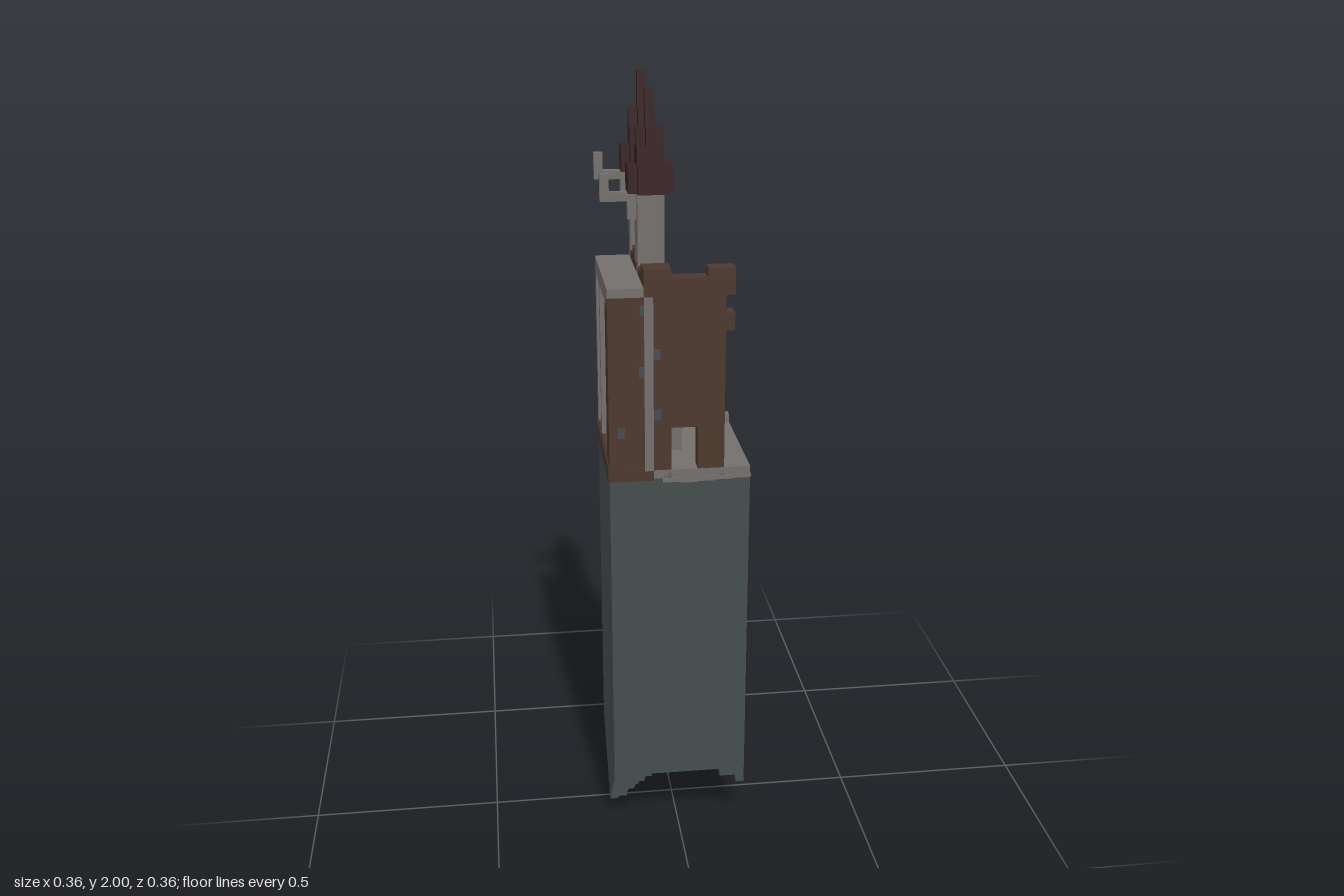
import * as THREE from 'three';

const V = 2 / 90; // edge of one building block

function material(name, color) {
  const m = new THREE.MeshStandardMaterial({ color });
  m.name = name;
  return m;
}

export function createModel() {
  const model = new THREE.Group();
  model.name = 'clifftopRuin';
  const rock = material('dark rock', 0x454d4d);
  const stone = material('grey stone', 0x746f6d);
  const brick = material('brown brick', 0x4c382d);
  const tile = material('dark red tile', 0x382325);
  const glass = material('blue glass', 0x5ab0cf);
  const cloth = material('green cloth', 0x2f7d20);

  // Box given by its limits in blocks
  const box = (name, mat, x0, x1, y0, y1, z0, z1, parent = model) => {
    const g = new THREE.BoxGeometry((x1 - x0) * V, (y1 - y0) * V, (z1 - z0) * V);
    g.translate(((x0 + x1) / 2) * V, ((y0 + y1) / 2) * V, ((z0 + z1) / 2) * V);
    const mesh = new THREE.Mesh(g, mat);
    mesh.name = name;
    parent.add(mesh);
    return mesh;
  };
  const P = 0.12; // thickness of applied plates

  // Rock pillar with a stepped underside hanging lowest on one side
  box('rockPillar', rock, -8, 8, 9, 47, -8, 8);
  const underside = new THREE.Group();
  underside.name = 'rockUnderside';
  model.add(underside);
  for (let x = -8; x < 8; x++) {
    for (let z = -8; z < 8; z++) {
      const cone = Math.hypot((x + 8) * 1.15, z + 0.5) - 0.4;
      const backCorner = 5 + 0.6 * Math.hypot(7 - x, z + 8);
      const frontCorner = 6 + 0.5 * Math.hypot(7 - x, 7 - z);
      const leftEdge = 6.6 + 0.4 * (x + 8);
      const rough = 8 + Math.round(Math.sin(x * 0.9) * Math.cos(z * 0.7));
      const low = Math.max(0, Math.round(Math.min(cone, backCorner, frontCorner, leftEdge, rough)));
      if (low < 9) box('rockStep', rock, x, x + 1, low, 9, z, z + 1, underside);
    }
  }

  // Courtyard paving with a ragged edge
  box('paving', stone, -8, 8, 47, 48, -8, 8);
  box('cornerStone', stone, 7, 8, 48, 49, -8, -7);
  for (let i = -8; i < 8; i += 2) {
    const drop = 46.4 + 0.4 * Math.abs(Math.sin(i * 1.7));
    box('pavingFringe', stone, 8, 8 + P, drop, 47, i, i + 2);
    if (i > -4) {
      box('pavingFringe', stone, i, i + 2, drop, 47, 8, 8 + P);
      box('pavingFringe', stone, i, i + 2, drop, 47, -8 - P, -8);
    }
  }

  // Front wall with doorway, battlements and side ledges
  box('frontWallLeft', brick, -4, -1, 47, 70, 6, 8);
  box('frontWallRight', brick, 2, 5, 47, 70, 6, 8);
  box('frontWallLintel', brick, -1, 2, 53, 70, 6, 8);
  box('battlement', brick, -4, -1, 70, 71, 5, 8);
  box('battlement', brick, 3, 6, 70, 71, 6, 8);
  box('wallLedge', brick, 5, 6, 68, 70, 6, 8);
  box('wallLedge', brick, 5, 6, 64, 66, 6, 8);
  for (const x of [-1.5, 1.5, 4]) box('wallRib', brick, x, x + 1, 54, 69, 5.6, 6);
  box('wallRail', brick, -2, 5, 67, 69, 5.3, 6);

  // Long middle wall joining the towers
  box('middleWall', brick, -4, -2, 48, 70, -6, 6);
  box('battlement', brick, -4, -2, 70, 71, -4, -2);
  box('wallRib', brick, -2, -1.6, 48, 69, 4, 5);
  box('wallRib', brick, -2, -1.6, 50, 69, 2, 3);

  // Window between the towers
  box('windowSill', stone, -2, -1.5, 59, 61, -6, -1);
  box('windowGlass', glass, -2, -2 + 0.3, 61, 63, -6, -1);
  box('windowArch', stone, -2, -1.6, 63, 64, -6, -1);
  box('windowArch', stone, -2, -1.6, 64, 65, -5, -2);
  box('windowArch', stone, -2, -1.6, 65, 66, -6, -3);

  // Rubble at the foot of the wall
  for (const [x, h, z0, z1] of [[-1, 52, -6, -5], [-1, 51, -5, -4], [0, 50, -4, -2], [-1, 51, -2, -1], [-1, 50, 2, 4], [-1.5, 49, 4, 6]])
    box('rubble', stone, -2, x, 48, h, z0, z1);

  // Towers; the rear one is cut off by the back edge
  const clampBack = (z) => Math.max(-8, z);
  const tower = (name, top, c0, c1) => {
    const g = new THREE.Group();
    g.name = name;
    model.add(g);
    const part = (n, m, x0, x1, y0, y1, z0, z1) =>
      box(n, m, x0, x1, y0, y1, clampBack(z0), clampBack(z1), g);
    part('towerShaft', stone, -4, -1, 48, top, c0, c1);
    part('towerButtress', stone, -1, 0, 48, 61, c0, c1);
    part('towerFoot', stone, 0, 1, 48, 55, c0, c1);
    // Cross-shaped eaves, then narrowing spire
    part('roofEaves', tile, -5, 0, top, top + 3, c0, c1);
    part('roofEaves', tile, -4, -1, top, top + 3, c0 - 1, c1 + 1);
    part('roofTier', tile, -4, -1, top + 3, top + 5, c0, c1);
    part('roofTier', tile, -4, -1, top + 5, top + 7, c0 + 1, c1 - 1);
    part('roofTier', tile, -3, -2, top + 5, top + 7, c0, c1);
    part('spire', tile, -3, -2, top + 7, top + 11, c0 + 1, c1 - 1);
    // Side bracket
    const a = c0 + 1;
    part('bracketBeam', stone, -7, -4, top - 1, top, a, a + 1);
    part('bracketTip', stone, -8, -7, top - 1, top + 2, a, a + 1);
    part('bracketBrace', stone, -5, -4, top - 3, top - 1, a, a + 1);
  };
  tower('middleTower', 78, -1, 2);
  tower('rearTower', 79, -9, -6);

  // Side house: stone core, flat roof and brick frame
  box('houseCore', stone, -7, -4, 48, 68, -7, 7);
  box('houseRoof', stone, -8, -4, 68, 69, -8, 8);
  box('houseFront', brick, -8, -4, 48, 68, 7, 8);
  box('houseBack', stone, -8, -4, 48, 68, -8, -7);
  box('houseBackPanel', brick, -5.4, -4.2, 48, 66, -8 - P, -8);
  box('houseBackPanel', brick, -7.4, -6.2, 48, 55, -8 - P, -8);
  box('houseBase', brick, -8, -7, 48, 49, -7, 7);
  box('houseBaseTrim', brick, -8 - P, -8, 46.6, 48.6, -8, 8);
  box('houseBaseTrim', brick, -8, -3, 46.8, 48, 8, 8 + P);
  box('houseBaseTrim', brick, -8, -4, 46.8, 48, -8 - P, -8);
  box('houseSidePost', brick, -8, -7, 49, 67, 5, 7);
  box('houseSidePost', stone, -8, -7, 49, 67, -3, -2);
  box('houseCornice', stone, -8, -7, 67, 68, -7, 7);
  box('housePanel', brick, -7.1, -7, 49, 58, -7, -3);
  box('housePanel', brick, -7.1, -7, 62, 65, 1, 3);
  box('houseShelf', brick, -7.6, -7, 58, 60, 0, 4);
  box('houseWindow', glass, -7.2, -7, 61, 63, -6, -4);
  box('houseWindowSill', stone, -7.6, -7, 60, 61, -6, -3);
  box('banner', cloth, -7.4, -7, 49, 56, 1.5, 5);
  box('bannerTop', cloth, -7.4, -7, 56, 58, 2.5, 4.5);

  // Stone strip and odd weathered stones on the front
  box('frontStrip', stone, -4, -3, 48, 68, 8, 8 + P * 1.5);
  for (const [x, y] of [[-3, 61], [-4.6, 59], [-7, 52], [-4.5, 66], [-3, 54]])
    box('weatheredStone', rock, x, x + 0.8, y, y + 1.2, 8, 8 + P);
  for (const y of [52, 57, 63]) box('weatheredStone', rock, -7.6, -6.8, y, y + 1, -8 - 1.5 * P, -8);

  return model;
}
